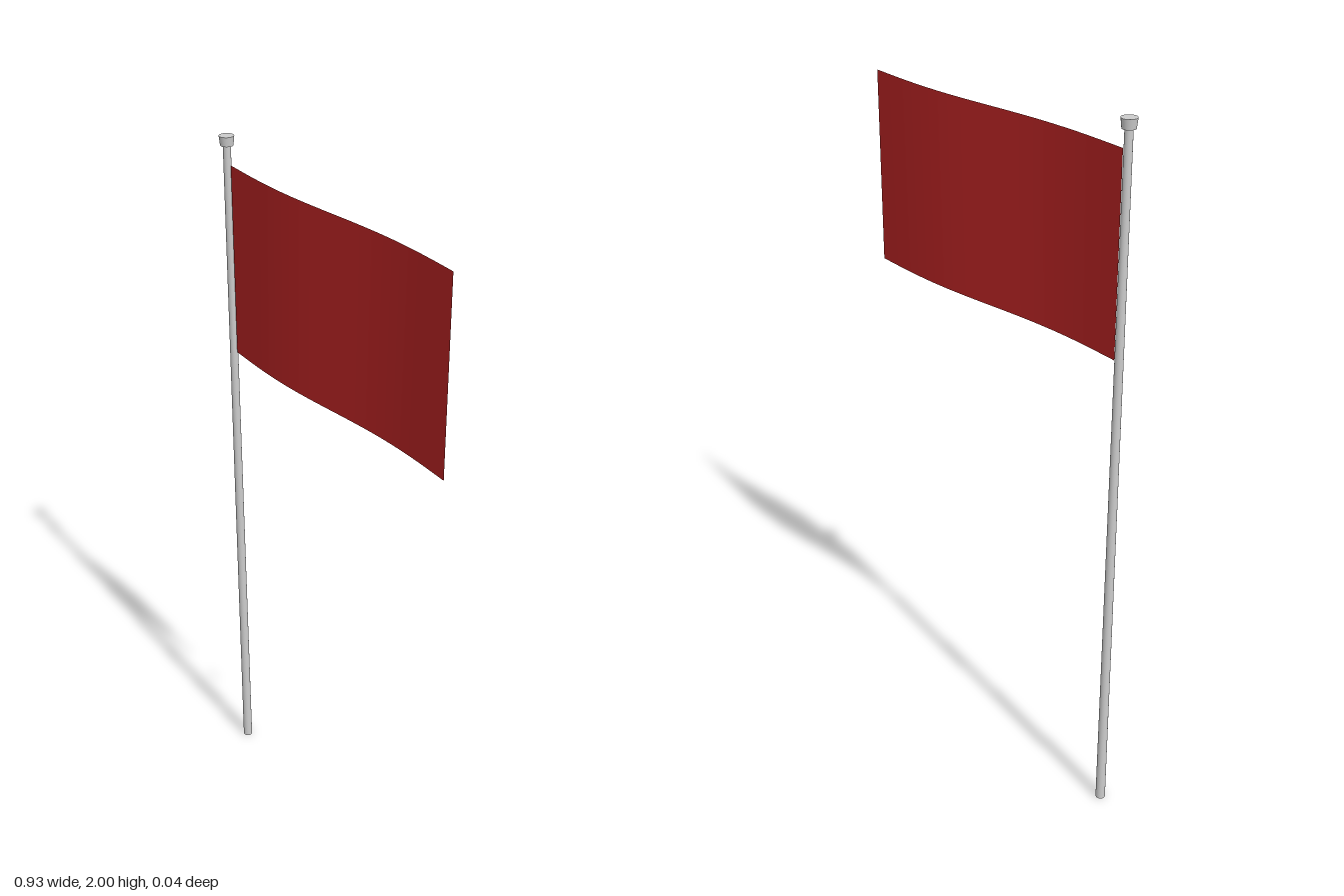
import * as THREE from 'three';

const POLE_X = -0.447;

export function createModel() {
  const model = new THREE.Group();
  model.name = 'flagOnPole';
  const grey = new THREE.MeshStandardMaterial({ color: 0xcccccc });
  const red = new THREE.MeshStandardMaterial({ color: 0xb22222, side: THREE.DoubleSide });

  const add = (name, geometry, material, x, y) => {
    const mesh = new THREE.Mesh(geometry, material);
    mesh.name = name;
    mesh.position.set(x, y, 0);
    model.add(mesh);
  };

  // Slightly tapered pole
  add('pole', new THREE.CylinderGeometry(0.0105, 0.0135, 1.98, 24), grey, POLE_X, 0.99);

  // Cap, a little narrower at its lower edge
  add('poleCap', new THREE.CylinderGeometry(0.0205, 0.0175, 0.026, 24), grey, POLE_X, 1.987);

  // Cloth: a thin sheet bent into one gentle wave along its length
  const left = -0.431, right = 0.465, bottom = 1.386, top = 1.924;
  const length = right - left;
  const cloth = new THREE.PlaneGeometry(length, top - bottom, 24, 1);
  const pos = cloth.attributes.position;
  for (let i = 0; i < pos.count; i++) {
    const t = pos.getX(i) / length + 0.5;
    pos.setZ(i, 0.012 * Math.sin(t * Math.PI * 2));
  }
  cloth.computeVertexNormals();
  add('flagCloth', cloth, red, (left + right) / 2, (bottom + top) / 2);

  return model;
}
